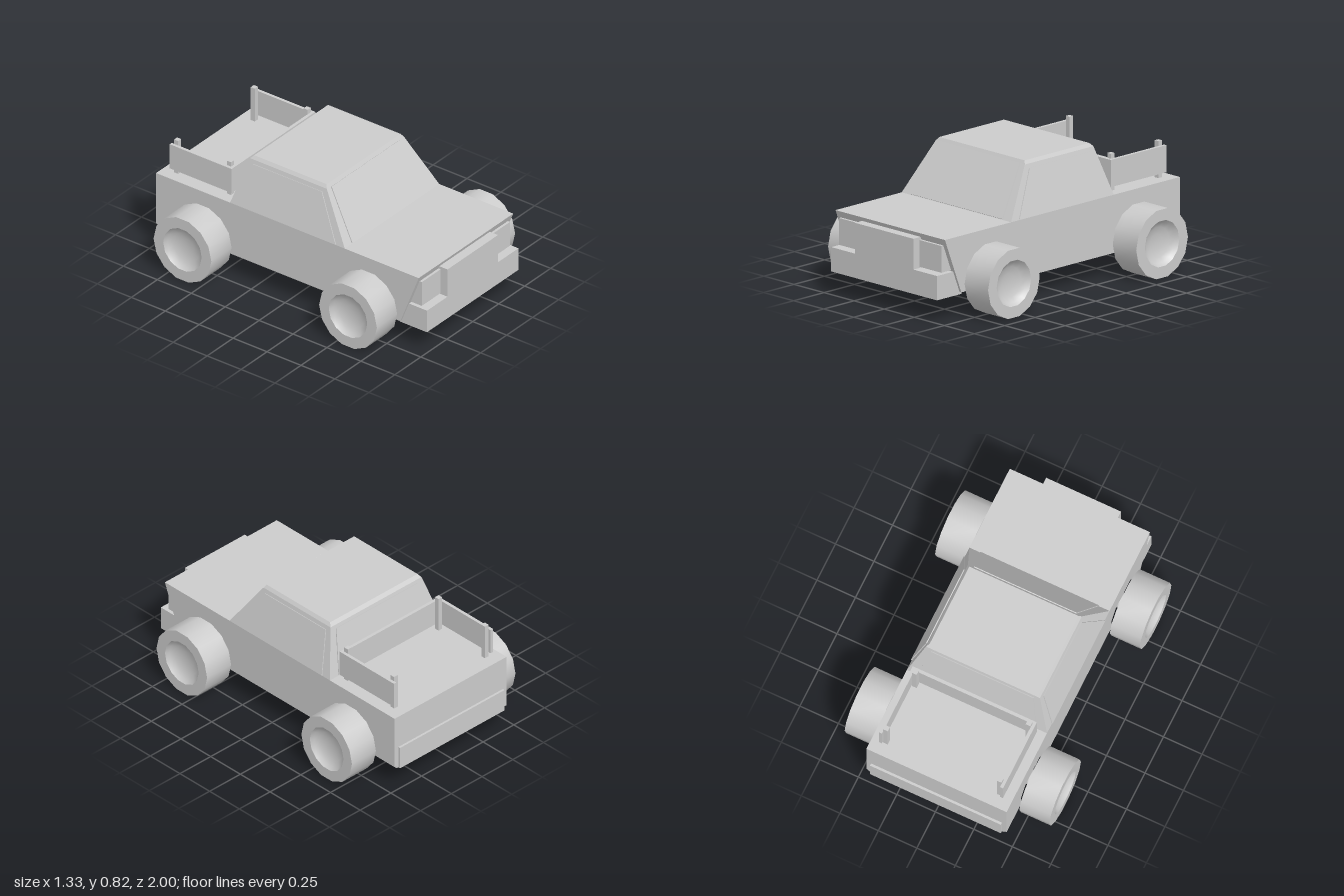
import * as THREE from 'three';
import { toCreasedNormals } from 'three/addons/utils/BufferGeometryUtils.js';

const grey = new THREE.MeshStandardMaterial({ color: 0xcccccc });
const AXLE_Z = [0.59, -0.63];
const AXLE_Y = 0.212;

export function createModel() {
  const model = new THREE.Group();

  const add = (name, geometry) => {
    const mesh = new THREE.Mesh(geometry, grey);
    mesh.name = name;
    model.add(mesh);
    return mesh;
  };

  // Box given by its lower and upper limits on each axis
  const box = (name, [x0, x1], [y0, y1], [z0, z1]) => {
    const g = new THREE.BoxGeometry(x1 - x0, y1 - y0, z1 - z0);
    return add(name, g.translate((x0 + x1) / 2, (y0 + y1) / 2, (z0 + z1) / 2));
  };

  // Side profile of [z, y] points, extruded between two x positions
  const sideExtrude = (name, points, x0, x1) => {
    const shape = new THREE.Shape(points.map(([z, y]) => new THREE.Vector2(z, y)));
    const g = new THREE.ExtrudeGeometry(shape, { depth: x1 - x0, bevelEnabled: false });
    return add(name, g.rotateY(-Math.PI / 2).translate(x1, 0, 0));
  };

  // Faceted solid through four-cornered rings, closed at both ends
  const loft = (name, rings) => {
    const index = [0, 2, 1, 0, 3, 2];
    for (let r = 0; r < rings.length - 1; r++) {
      for (let i = 0; i < 4; i++) {
        const a = r * 4 + i, b = r * 4 + (i + 1) % 4;
        index.push(a, b, b + 4, a, b + 4, a + 4);
      }
    }
    const e = (rings.length - 1) * 4;
    index.push(e, e + 1, e + 2, e, e + 2, e + 3);
    const g = new THREE.BufferGeometry();
    g.setAttribute('position', new THREE.Float32BufferAttribute(rings.flat(2), 3));
    g.setIndex(index);
    const flat = g.toNonIndexed();
    flat.computeVertexNormals();
    return add(name, flat);
  };

  // Thin pane raised outwards from four corners listed counter-clockwise
  const pane = (name, quad) => {
    const p = quad.map((c) => new THREE.Vector3(...c));
    const n = p[1].clone().sub(p[0]).cross(p[2].clone().sub(p[0])).setLength(0.006);
    loft(name, [quad, p.map((v) => v.clone().add(n).toArray())]);
  };

  // Body core, with sides cut away around the axles
  const top = [[0.95, 0.505], [-0.985, 0.505], [-0.985, 0.16]];
  sideExtrude('bodyCore', [...top, [0.815, 0.16]], -0.25, 0.25);
  const arches = [...AXLE_Z].reverse().flatMap((z) => [
    [z - 0.16, 0.16], [z - 0.16, 0.26], [z - 0.1, 0.34],
    [z + 0.1, 0.34], [z + 0.16, 0.26], [z + 0.16, 0.16],
  ]);
  for (const [name, x0, x1] of [['leftBodySide', 0.25, 0.455], ['rightBodySide', -0.455, -0.25]]) {
    sideExtrude(name, [...top, ...arches, [0.815, 0.16]], x0, x1);
  }
  box('chassis', [-0.25, 0.25], [0.145, 0.165], [-0.985, 0.83]);
  for (const s of [1, -1]) {
    const x = s > 0 ? [0.25, 0.44] : [-0.44, -0.25];
    box('sill', x, [0.145, 0.165], [AXLE_Z[1] + 0.16, AXLE_Z[0] - 0.16]);
    box('rearSill', x, [0.145, 0.165], [-0.985, AXLE_Z[1] - 0.16]);
  }

  // Cab with a narrow chamfer around the roof
  const ring = (x, y, zf, zb) => [[x, y, zf], [x, y, zb], [-x, y, zb], [-x, y, zf]];
  loft('cab', [
    ring(0.455, 0.505, 0.405, -0.44),
    ring(0.37, 0.8, 0.208, -0.357),
    ring(0.355, 0.82, 0.195, -0.338),
  ]);

  // Windows lying on the sloping cab faces
  const sideX = (y) => 0.455 - 0.288 * (y - 0.505);
  const frontZ = (y) => 0.405 - 0.667 * (y - 0.505);
  const backZ = (y) => -0.44 + 0.281 * (y - 0.505);
  const lo = 0.508, hi = 0.797;
  pane('windshield', [
    [-0.385, lo, frontZ(lo)], [0.385, lo, frontZ(lo)],
    [0.333, hi, frontZ(hi)], [-0.333, hi, frontZ(hi)],
  ]);
  pane('rearWindow', [
    [0.385, lo, backZ(lo)], [-0.385, lo, backZ(lo)],
    [-0.333, 0.78, backZ(0.78)], [0.333, 0.78, backZ(0.78)],
  ]);
  const sideQuad = [[lo, 0.34], [lo, -0.375], [0.775, -0.328], [0.775, 0.18]]
    .map(([y, z]) => [sideX(y), y, z]);
  pane('leftWindow', sideQuad);
  pane('rightWindow', sideQuad.map(([x, y, z]) => [-x, y, z]).reverse());

  // Nose, bumper, headlights and tail panel
  box('grille', [-0.243, 0.243], [0.145, 0.48], [0.8, 1]);
  box('bumper', [-0.44, 0.44], [0.145, 0.293], [0.8, 1]);
  box('leftHeadlight', [0.243, 0.425], [0.3, 0.463], [0.84, 0.95]);
  box('rightHeadlight', [-0.425, -0.243], [0.3, 0.463], [0.84, 0.95]);
  box('tailPanel', [-0.425, 0.425], [0.145, 0.29], [-1, -0.97]);

  // Bed rails: boards on both sides and behind the cab, with corner posts
  const board = [0.535, 0.7];
  box('leftRail', [0.383, 0.403], board, [-0.925, -0.468]);
  box('rightRail', [-0.403, -0.383], board, [-0.925, -0.468]);
  box('frontRail', [-0.383, 0.383], board, [-0.488, -0.468]);
  for (const x of [0.369, -0.369]) {
    for (const z of [-0.502, -0.892]) {
      box('railPost', [x - 0.015, x + 0.015], [0.5, 0.73], [z - 0.015, z + 0.015]);
    }
  }

  // Wheels with a dished outer face
  const profile = [
    [0, 0], [0.213, 0], [0.213, 0.195], [0.142, 0.195],
    [0.125, 0.175], [0.095, 0.157], [0.05, 0.147], [0, 0.144],
  ].map(([r, h]) => new THREE.Vector2(r, h));
  const wheelGeometry = toCreasedNormals(new THREE.LatheGeometry(profile, 14), 0.6)
    .rotateZ(-Math.PI / 2).translate(0.47, 0, 0);
  for (const z of AXLE_Z) {
    for (const s of [1, -1]) {
      const wheel = add(z > 0 ? 'frontWheel' : 'rearWheel', wheelGeometry);
      wheel.position.set(0, AXLE_Y, z);
      wheel.rotation.y = s > 0 ? 0 : Math.PI;
    }
    const axle = new THREE.CylinderGeometry(0.048, 0.048, 0.96, 16).rotateZ(Math.PI / 2);
    add(z > 0 ? 'frontAxle' : 'rearAxle', axle.translate(0, AXLE_Y, z));
  }

  return model;
}
